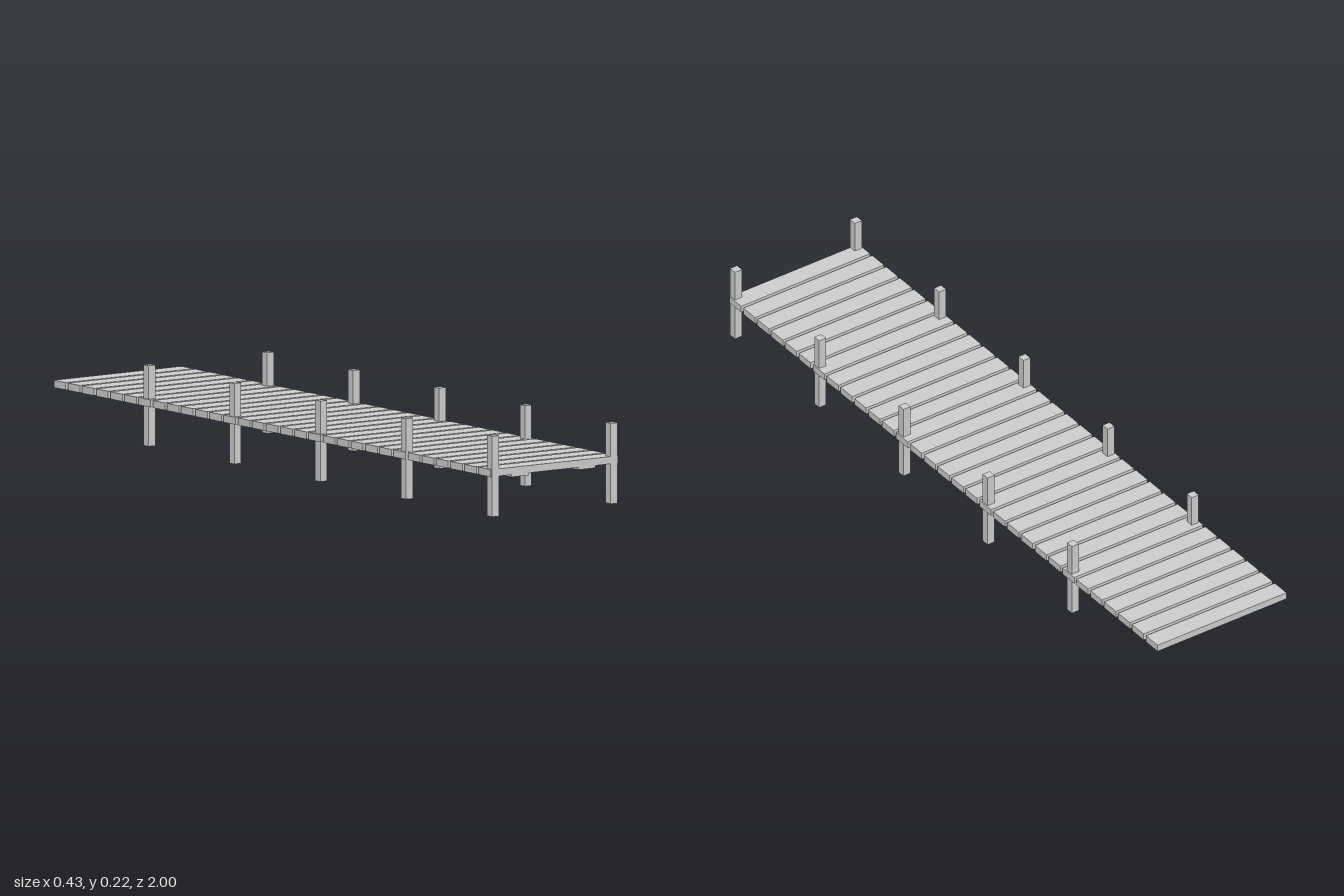
import * as THREE from 'three';

export function createModel() {
  const group = new THREE.Group();
  group.name = 'woodenDock';
  const material = new THREE.MeshStandardMaterial({ color: 0xcccccc, flatShading: true });

  const box = (name, w, h, d, x, y, z) => {
    const mesh = new THREE.Mesh(new THREE.BoxGeometry(w, h, d), material);
    mesh.name = name;
    mesh.position.set(x, y, z);
    group.add(mesh);
  };

  // Deck planks laid across the walkway with narrow gaps
  const plankCount = 31, gap = 0.01, front = 0.998, back = -1;
  const pitch = (front - back + gap) / plankCount;
  const plankDepth = pitch - gap;
  for (let i = 0; i < plankCount; i++) {
    box('plank', 0.426, 0.02, plankDepth, 0, 0.119, back + plankDepth / 2 + i * pitch);
  }

  // Two long flat stringers under the deck
  for (const x of [-0.113, 0.11]) {
    box('stringer', 0.057, 0.008, 1.985, x, 0.106, 0.003);
  }

  // Five pairs of square posts
  for (let i = 0; i < 5; i++) {
    for (const side of [-1, 1]) {
      box('post', 0.023, 0.22, 0.023, side * 0.198, 0.11, 0.9885 - i * 0.393);
    }
  }

  return group;
}
